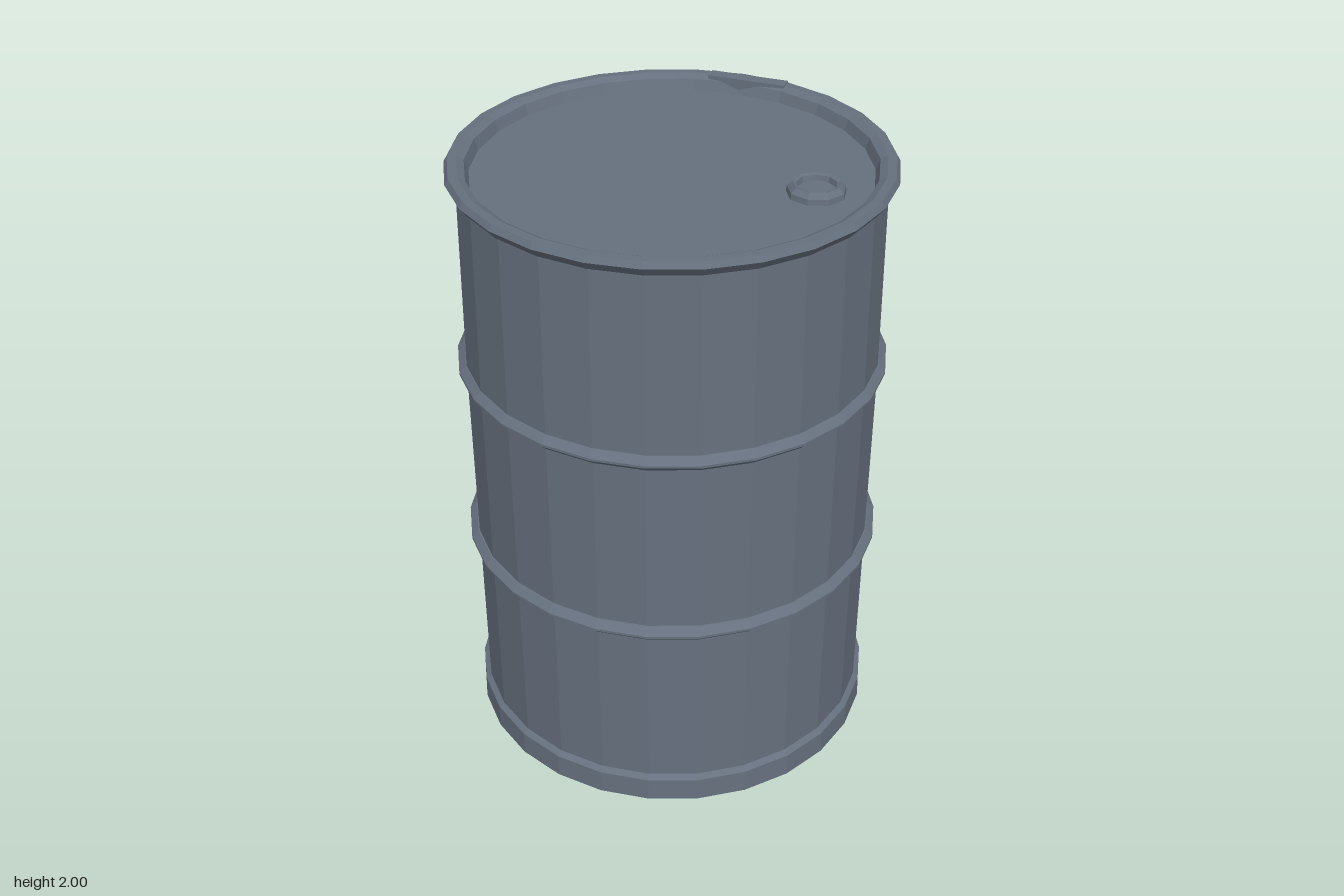
import * as THREE from 'three';

const SIDES = 26;

export function createModel() {
  const drum = new THREE.Group();
  drum.name = 'drum';
  const paint = new THREE.MeshStandardMaterial({ color: 0x66707e, flatShading: true });

  const add = (name, geometry, parent = drum) => {
    const mesh = new THREE.Mesh(geometry, paint);
    mesh.name = name;
    parent.add(mesh);
    return mesh;
  };
  // Profile points are [radius, height], running up the outside.
  const turned = (name, profile, sides = SIDES, parent = drum) =>
    add(name, new THREE.LatheGeometry(profile.map(([r, y]) => new THREE.Vector2(r, y)), sides), parent);

  // Side wall
  turned('body', [[0.652, 0.06], [0.655, 0.7], [0.658, 1.33], [0.652, 1.96]]);

  // Foot ring wrapping under to the recessed base
  turned('footRing', [[0.635, 0.02], [0.645, 0], [0.672, 0], [0.67, 0.08], [0.65, 0.095]]);
  turned('base', [[0, 0.02], [0.635, 0.02]]);

  // Two rolling hoops
  [0.698, 1.335].forEach((y, i) => {
    turned(i ? 'upperHoop' : 'lowerHoop', [
      [0.65, y - 0.027], [0.66, y - 0.025], [0.682, y - 0.004],
      [0.682, y + 0.004], [0.66, y + 0.025], [0.65, y + 0.027],
    ]);
  });

  // Rolled rim falling inward to the sunken lid
  turned('topRim', [
    [0.65, 1.945], [0.66, 1.948], [0.683, 1.978], [0.672, 1.997],
    [0.645, 1.997], [0.622, 1.985], [0.61, 1.95],
  ]);
  turned('lid', [[0.612, 1.95], [0, 1.95]]);

  // Closing lap at the back of the rim
  const lap = add('rimLap', new THREE.BoxGeometry(0.26, 0.05, 0.045));
  lap.position.set(0.025, 1.975, -0.637);

  // Filler cap: raised collar with a sunken plug
  const cap = new THREE.Group();
  cap.name = 'fillerCap';
  cap.position.set(0.45, 1.95, 0);
  drum.add(cap);
  turned('collar', [[0.09, 0], [0.088, 0.018], [0.072, 0.034], [0.062, 0.03], [0.058, 0.012]], 9, cap);
  turned('plug', [[0.06, 0.013], [0, 0.013]], 9, cap);

  return drum;
}
